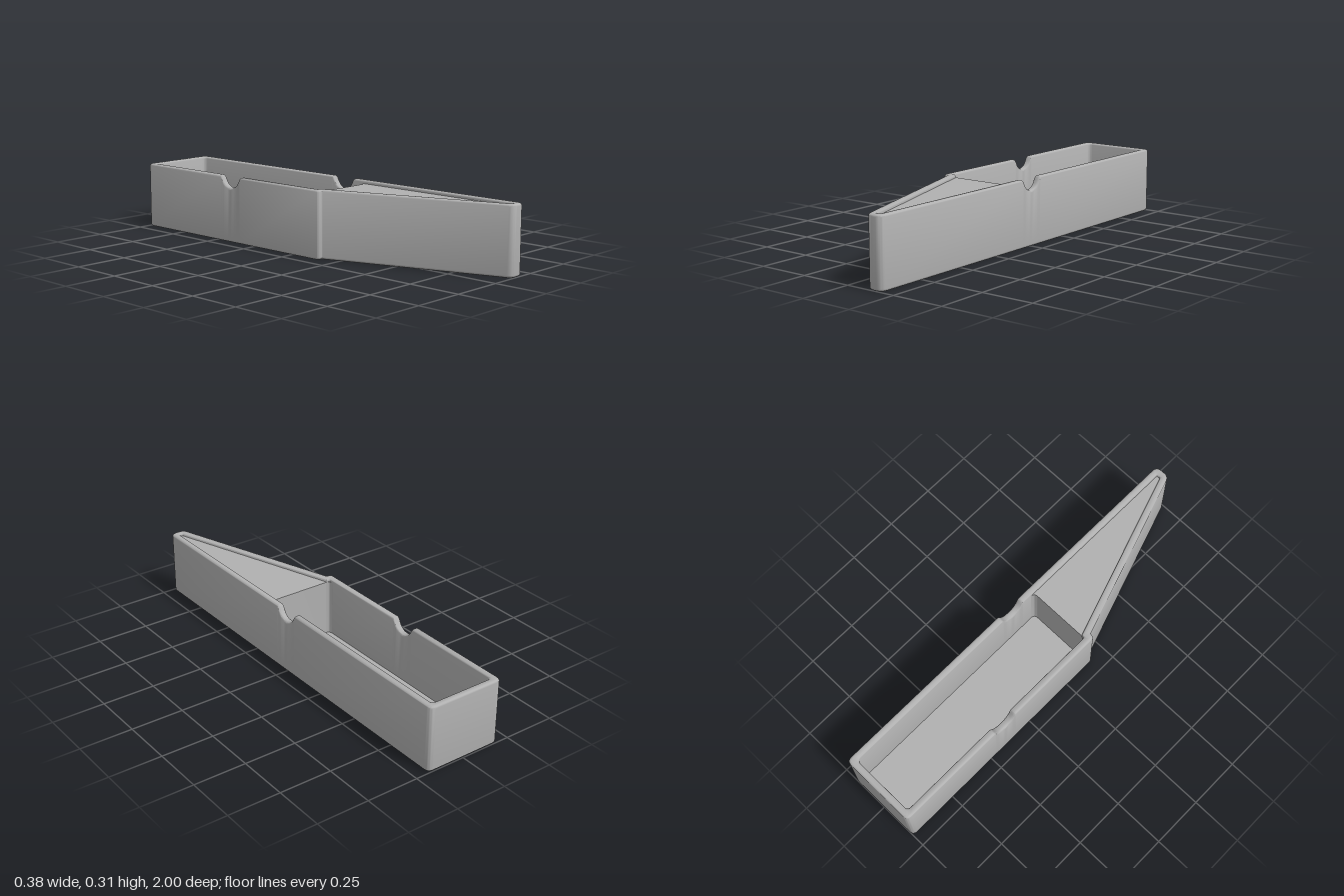
import * as THREE from 'three';
import { toCreasedNormals } from 'three/addons/utils/BufferGeometryUtils.js';

const H = 0.315, WALL = 0.033, R = 0.011, FLOOR = 0.03;

// Plan corners: x, z, corner rounding outside, corner rounding inside
const CORNERS = [
  [-0.19, -1, 0.026, 0.02],
  [0.19, -1, 0.026, 0.02],
  [0.19, 1, 0.03, 0.007],
  [0.115, 1, 0.024, 0.006],
  [-0.165, 0.17, 0.003, 0.003],
  [-0.19, 0.17, 0.02, 0.008],
];
// Finger notches, keyed by the edge they sit on (right wall, left wall)
const NOTCH_Z = { 1: 0.0, 5: -0.4 };
const HALF = [[0.07, 0], [0.065, 0.002], [0.06, 0.008], [0.055, 0.018], [0.047, 0.031], [0.036, 0.043], [0.019, 0.052]];
const NOTCH = [...HALF.map(([z, d]) => [-z, d]), [0, 0.055], ...HALF.slice().reverse()];

// Plan outline moved inward by d, as [x, z, notch depth]
function outline(d) {
  const n = CORNERS.length;
  const normals = CORNERS.map(([x, z], i) => {
    const [x2, z2] = CORNERS[(i + 1) % n];
    return new THREE.Vector2(z - z2, x2 - x).normalize();
  });
  const pts = CORNERS.map(([x, z], i) => {
    const a = normals[(i + n - 1) % n], b = normals[i];
    const k = d / (1 + a.dot(b));
    return new THREE.Vector2(x + (a.x + b.x) * k, z + (a.y + b.y) * k);
  });
  const out = [];
  pts.forEach((p, i) => {
    const prev = pts[(i + n - 1) % n], next = pts[(i + 1) % n];
    const trim = THREE.MathUtils.lerp(CORNERS[i][2], CORNERS[i][3], d / WALL);
    const toward = (q) => q.clone().sub(p).setLength(trim).add(p);
    const arc = new THREE.QuadraticBezierCurve(toward(prev), p, toward(next));
    arc.getPoints(7).forEach((q) => out.push([q.x, q.y, 0]));
    if (i in NOTCH_Z) {
      const dir = Math.sign(next.y - p.y);
      NOTCH.forEach(([z, dip]) => out.push([p.x, NOTCH_Z[i] + dir * z, dip]));
    }
  });
  return out;
}

// Outer wall, rounded rim, inner wall and floor as one run of loops
function shellGeometry() {
  const rings = []; // inset, height, whether the notch lowers it
  const STEPS = 5;
  const fillet = (f) => {
    for (let i = 0; i <= STEPS; i++) f((i / STEPS) * Math.PI / 2);
  };
  fillet((a) => rings.push([R * (1 - Math.sin(a)), R * (1 - Math.cos(a)), false]));
  fillet((a) => rings.push([R * (1 - Math.cos(a)), H - R * (1 - Math.sin(a)), true]));
  fillet((a) => rings.push([WALL - R * (1 - Math.sin(a)), H - R * (1 - Math.cos(a)), true]));
  rings.push([WALL, FLOOR, false]);

  const loops = rings.map(([d, y, dips]) =>
    outline(d).map(([x, z, dip]) => [x, dips ? y - dip : y, z]));
  const n = loops[0].length, index = [];
  for (let r = 0; r < loops.length - 1; r++) {
    for (let j = 0; j < n; j++) {
      const k = (j + 1) % n, a = r * n, b = a + n;
      index.push(a + j, b + j, a + k, a + k, b + j, b + k);
    }
  }
  // Underside and tray floor
  const cap = (r, flip) => {
    const flat = loops[r].map(([x, , z]) => new THREE.Vector2(x, z));
    THREE.ShapeUtils.triangulateShape(flat, []).forEach(([a, b, c]) => {
      const o = r * n;
      index.push(o + a, o + (flip ? c : b), o + (flip ? b : c));
    });
  };
  cap(0, false);
  cap(loops.length - 1, true);

  const geo = new THREE.BufferGeometry();
  geo.setAttribute('position', new THREE.Float32BufferAttribute(loops.flat(2), 3));
  geo.setIndex(index);
  return toCreasedNormals(geo, 0.6);
}

// Solid wedge filling, whose back face closes the tray with rounded corners
function deckGeometry() {
  const s = new THREE.Shape();
  s.moveTo(-0.165, -0.115);
  s.lineTo(-0.157, -0.115);
  s.quadraticCurveTo(-0.157, -0.137, -0.135, -0.137);
  s.lineTo(0.135, -0.137);
  s.quadraticCurveTo(0.157, -0.137, 0.157, -0.115);
  s.lineTo(0.165, -0.115);
  s.lineTo(0.165, -0.975);
  s.lineTo(0.13, -0.975);
  s.lineTo(-0.15, -0.15);
  s.lineTo(-0.165, -0.15);
  const geo = new THREE.ExtrudeGeometry(s, { depth: 0.28, bevelEnabled: false, curveSegments: 8 });
  geo.rotateX(-Math.PI / 2).translate(0, 0.02, 0);
  return toCreasedNormals(geo, 0.6);
}

export function createModel() {
  const grey = new THREE.MeshStandardMaterial({ color: 0xb0b0b0 });
  grey.name = 'grey plastic';
  const group = new THREE.Group();
  group.name = 'wedgeTray';
  const add = (name, geo) => {
    const mesh = new THREE.Mesh(geo, grey);
    mesh.name = name;
    group.add(mesh);
  };
  add('trayShell', shellGeometry());
  add('wedgeDeck', deckGeometry());
  return group;
}
